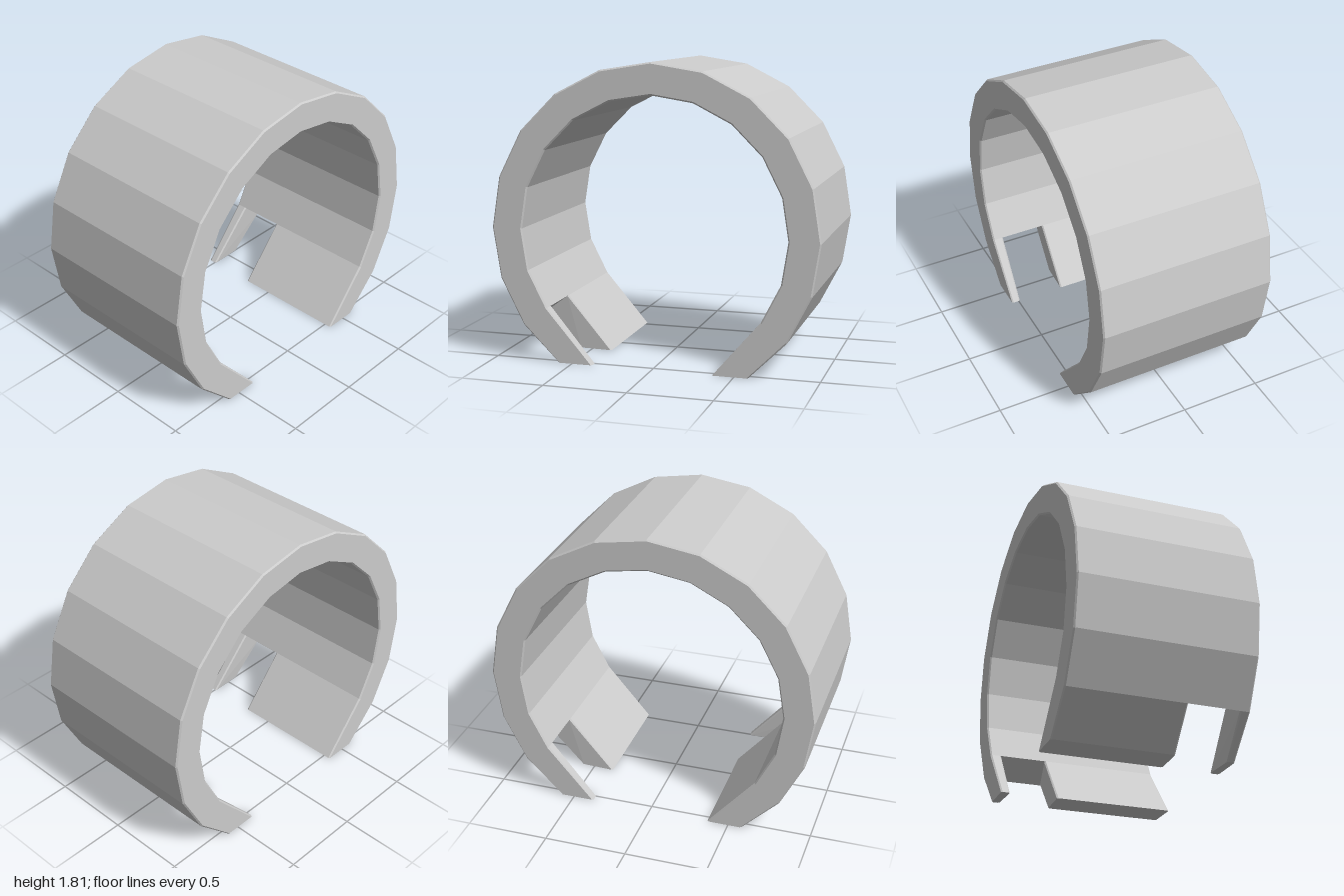
import * as THREE from 'three';

const HALF = 0.545;      // half width of the band
const R_OUT = 1, R_IN = 0.81;
const CY = 0.809;        // height of the ring's centre
const BEVEL = 0.009;
const STEP = Math.PI / 10;

// Point on a 20-sided ring: step 0 faces +z, positive steps climb
const ringPoint = (r, k) => [CY + r * Math.sin(k * STEP), r * Math.cos(k * STEP)];

// Four corners of a section: outer and inner [y, z], with the x limits of each
function section(outer, inner, outX = [-HALF, HALF], inX = outX) {
  const corners = [
    new THREE.Vector3(outX[0], ...outer), new THREE.Vector3(outX[1], ...outer),
    new THREE.Vector3(inX[1], ...inner), new THREE.Vector3(inX[0], ...inner),
  ];
  // Cut each corner to form a small bevel
  return corners.flatMap((p, i) => [corners[(i + 3) % 4], corners[(i + 1) % 4]].map((q) =>
    p.clone().add(q.clone().sub(p).setLength(BEVEL))));
}

// Skin a row of sections and cap both ends
function skin(name, sections) {
  const pos = [];
  const tri = (...pts) => pts.forEach((p) => pos.push(p.x, p.y, p.z));
  for (let s = 0; s < sections.length - 1; s++) {
    const a = sections[s], b = sections[s + 1];
    for (let i = 0; i < a.length; i++) {
      const j = (i + 1) % a.length;
      tri(a[i], a[j], b[j]);
      tri(a[i], b[j], b[i]);
    }
  }
  const first = sections[0], last = sections[sections.length - 1];
  for (let i = 1; i < first.length - 1; i++) {
    tri(first[0], first[i + 1], first[i]);
    tri(last[0], last[i], last[i + 1]);
  }
  const geo = new THREE.BufferGeometry();
  geo.setAttribute('position', new THREE.Float32BufferAttribute(pos, 3));
  geo.computeVertexNormals();
  const mesh = new THREE.Mesh(geo, new THREE.MeshStandardMaterial({ color: 0xcccccc, flatShading: true }));
  mesh.name = name;
  return mesh;
}

// One lower jaw, split in two by an open notch
function makeJaw(name) {
  const jaw = new THREE.Group();
  jaw.name = name;
  const outTop = ringPoint(R_OUT, -2), inTop = ringPoint(R_IN, -2);
  const outEnd = [0, 0.585], inEnd = [0, 0.37];
  jaw.add(skin('wideTab', [
    section(outEnd, inEnd, [-HALF, 0.182], [-HALF, 0.192]),
    section(outTop, inTop, [-HALF, 0.17], [-HALF, 0.19]),
  ]));
  jaw.add(skin('narrowTab', [
    section(outEnd, inEnd, [0.498, HALF], [0.49, HALF]),
    section(outTop, inTop, [0.484, HALF], [0.475, HALF]),
  ]));
  return jaw;
}

export function createModel() {
  const model = new THREE.Group();
  model.name = 'openClip';

  // Faceted band over the top, between the two jaws
  const arc = [];
  for (let k = -2; k <= 12; k++) arc.push(section(ringPoint(R_OUT, k), ringPoint(R_IN, k)));
  model.add(skin('band', arc));

  // The back jaw is the front one turned half way round
  const back = makeJaw('backJaw');
  back.rotation.y = Math.PI;
  model.add(makeJaw('frontJaw'), back);
  return model;
}
